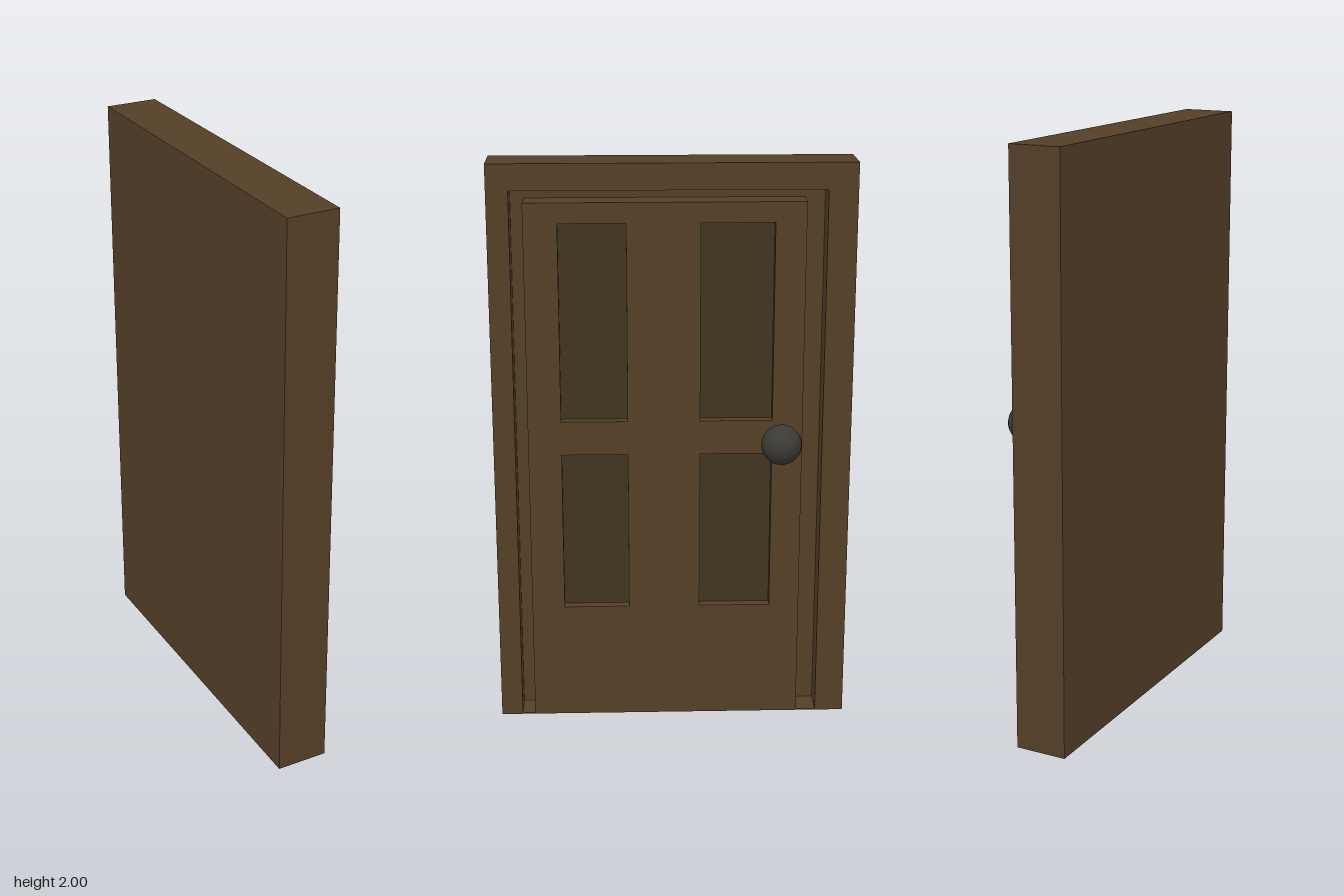
import * as THREE from 'three';

const wood = new THREE.MeshStandardMaterial({ color: 0x543f27 });
const panelWood = new THREE.MeshStandardMaterial({ color: 0x41331f });
const metal = new THREE.MeshStandardMaterial({ color: 0x3c3a34 });

const FRONT = 0.01, BACK = -0.17, SLAB = -0.09; // x of face, back and groove floor
const RECESS = 0.035; // depth of the panels
const HALF = 0.62;

export function createModel() {
  const door = new THREE.Group();
  door.name = 'door';

  const add = (name, geometry, material = wood) => {
    const mesh = new THREE.Mesh(geometry, material);
    mesh.name = name;
    door.add(mesh);
    return mesh;
  };
  // box from its limits
  const box = (name, x0, x1, y0, y1, z0, z1, material) =>
    add(name, new THREE.BoxGeometry(x1 - x0, y1 - y0, z1 - z0), material)
      .position.set((x0 + x1) / 2, (y0 + y1) / 2, (z0 + z1) / 2);
  // closed outline of [z, y] points
  const outline = (points, Type = THREE.Shape) =>
    new Type(points.map(([z, y]) => new THREE.Vector2(-z, y)));
  const rect = (z0, z1, y0, y1) => [[z0, y0], [z1, y0], [z1, y1], [z0, y1]];
  // extrude an outline along x
  const plate = (name, shape, x0, x1) => {
    const geometry = new THREE.ExtrudeGeometry(shape, { depth: x1 - x0, bevelEnabled: false });
    geometry.rotateY(Math.PI / 2).translate(x0, 0, 0);
    add(name, geometry);
  };

  // solid back, with a thin sill closing the groove below
  box('backSlab', BACK, SLAB, 0, 2, -HALF, HALF);
  box('sill', SLAB, FRONT, 0, 0.005, -0.52, 0.545);

  // surround on three sides
  plate('frame', outline([
    [HALF, 0], [HALF, 2], [-HALF, 2], [-HALF, 0],
    [-0.52, 0], [-0.52, 1.91], [0.545, 1.91], [0.545, 0],
  ]), SLAB, FRONT);

  // door leaf with four sunken panels
  const leaf = outline(rect(0.5, -0.45, 0.005, 1.87));
  for (const [z0, z1] of [[0.385, 0.155], [-0.095, -0.345]]) {
    for (const [y0, y1] of [[0.42, 0.99], [1.11, 1.8]]) {
      leaf.holes.push(outline(rect(z0, z1, y0, y1), THREE.Path));
      box('panel', SLAB, FRONT - RECESS, y0, y1, z1, z0, panelWood);
    }
  }
  plate('leaf', leaf, SLAB, FRONT);

  // knob on its stem
  const stem = add('knobStem', new THREE.CylinderGeometry(0.013, 0.013, 0.1, 24));
  stem.rotation.z = Math.PI / 2;
  stem.position.set(0.05, 1.05, -0.402);
  add('knob', new THREE.SphereGeometry(0.069, 32, 24), metal).position.set(0.1, 1.05, -0.37);

  return door;
}
